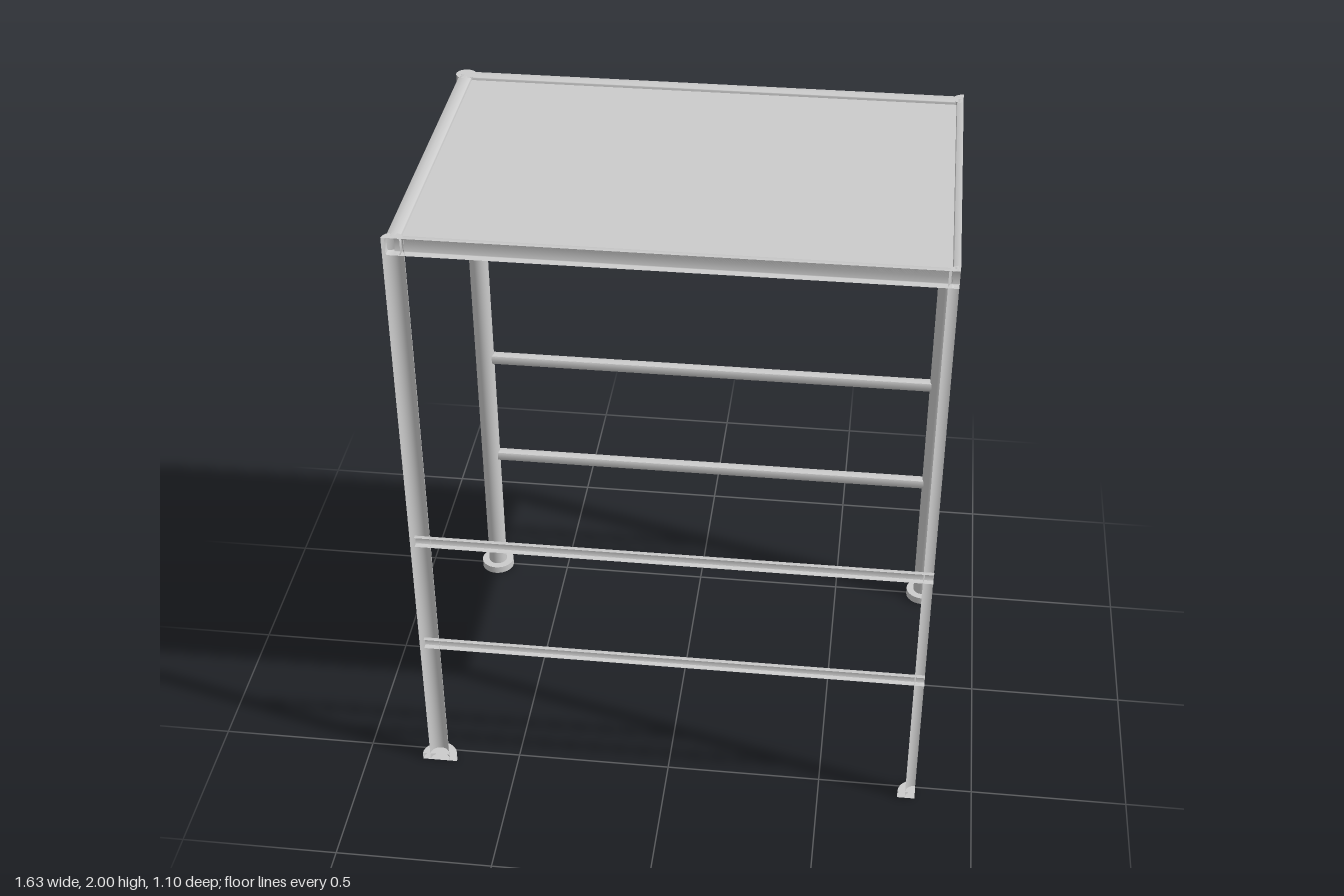
import * as THREE from 'three';
import { toCreasedNormals } from 'three/addons/utils/BufferGeometryUtils.js';

const X0 = -0.759, X1 = 0.816;   // left-hand post axis, open section plane
const Z0 = -0.495, Z1 = 0.552;   // back post axis, open section plane
const TOP = 2;

const material = new THREE.MeshStandardMaterial({ color: 0xcccccc, side: THREE.DoubleSide });

// Rounded rectangular tube along +x; half = only the z <= 0 side, left open
function tubeGeometry(length, width, height, half) {
  const r = 0.006, w = width / 2 - r, h = height / 2 - r, profile = [];
  const corner = (cz, cy, start) => {
    for (let i = 0; i <= 4; i++) {
      const a = start + (i / 4) * Math.PI / 2;
      profile.push([cz + r * Math.cos(a), cy + r * Math.sin(a)]);
    }
  };
  profile.push([0, height / 2]);
  corner(-w, h, Math.PI / 2);
  corner(-w, -h, Math.PI);
  profile.push([0, -height / 2]);
  if (!half) {
    corner(w, -h, Math.PI * 1.5);
    corner(w, h, 0);
    profile.push([0, height / 2]);
  }
  const n = profile.length - 1;
  const geo = new THREE.PlaneGeometry(1, 1, 1, n);
  const pos = geo.attributes.position;
  for (let i = 0; i <= n; i++) {
    const [z, y] = profile[i];
    pos.setXYZ(i * 2, length, y, z);
    pos.setXYZ(i * 2 + 1, 0, y, z);
  }
  return toCreasedNormals(geo, 0.6);
}

export function createModel() {
  const model = new THREE.Group();

  const add = (name, geo, x, y, z, parent = model) => {
    const mesh = new THREE.Mesh(geo, material);
    mesh.name = name;
    mesh.position.set(x, y, z);
    parent.add(mesh);
    return mesh;
  };

  // Posts with round feet: one whole, two halved and one quartered by the section planes
  const posts = [
    ['backRightPost', X0, Z0, 0, 2],
    ['backLeftPost', X1, Z0, 1, 1],
    ['frontRightPost', X0, Z1, 0.5, 1],
    ['frontLeftPost', X1, Z1, 1, 0.5],
  ];
  for (const [name, x, z, start, sweep] of posts) {
    const post = new THREE.Group();
    post.name = name;
    const cylinder = (r, h) =>
      new THREE.CylinderGeometry(r, r, h, 20 * sweep, 1, false, start * Math.PI, sweep * Math.PI);
    add('upright', cylinder(0.032, TOP), x, TOP / 2, z, post);
    add('foot', cylinder(0.057, 0.026), x, 0.013, z, post);
    model.add(post);
  }

  // Top frame rails
  const w = 0.043, h = 0.055, yTop = TOP - h / 2;
  add('backTopRail', tubeGeometry(X1 - X0, w, h, false), X0, yTop, Z0);
  add('frontTopRail', tubeGeometry(X1 - X0, w, h, true), X0, yTop, Z1);
  add('rightTopRail', tubeGeometry(Z1 - Z0, w, h, false), X0, yTop, Z1).rotation.y = Math.PI / 2;
  // Turned so that its open side faces +x
  add('leftTopRail', tubeGeometry(Z1 - Z0, w, h, true), X1, yTop, Z1).rotation.y = Math.PI / 2;

  // Lower cross rails at the back and front
  for (const y of [0.508, 0.921]) {
    const x = X0 - 0.018;
    add('backCrossRail', tubeGeometry(X1 - x, 0.034, 0.034, false), x, y, Z0);
    add('frontCrossRail', tubeGeometry(X1 - x, 0.034, 0.034, true), x, y, Z1);
  }

  // Deck panel held inside the top frame
  const px0 = X0 + w / 2, px1 = X1 - w / 2, pz0 = Z0 + w / 2, pz1 = Z1 - w / 2;
  add('deckPanel', new THREE.BoxGeometry(px1 - px0, 0.02, pz1 - pz0),
    (px0 + px1) / 2, 1.98, (pz0 + pz1) / 2);

  return model;
}
